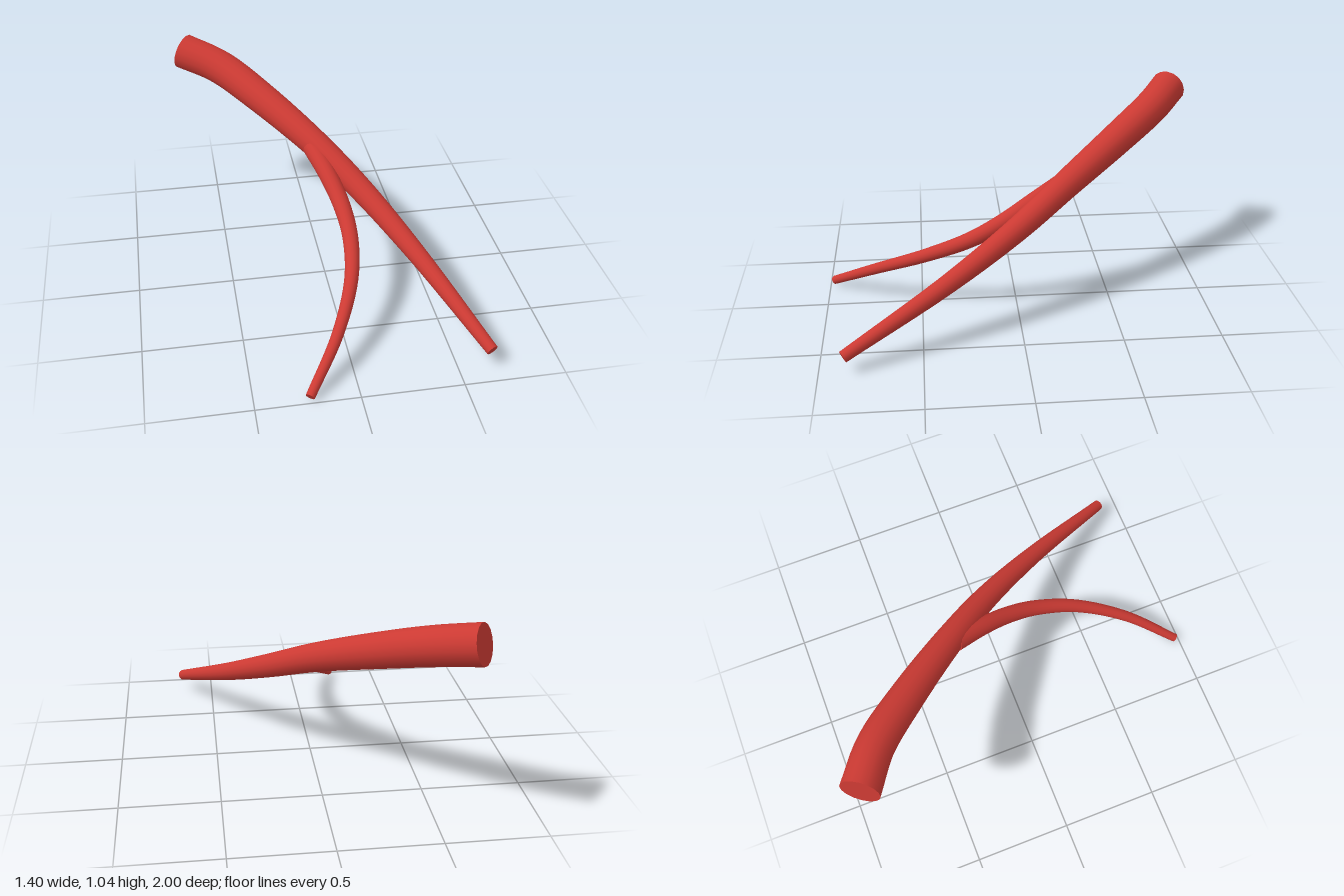
import * as THREE from 'three';

const SIDES = 16;
const STEPS = 48;

// Tapered tube: each station is [x, y, z, radius]
function taperedTube(stations) {
  const curve = new THREE.CatmullRomCurve3(stations.map(([x, y, z]) => new THREE.Vector3(x, y, z)));
  const radii = new THREE.CatmullRomCurve3(stations.map((s, i) => new THREE.Vector3(i, s[3], 0)));
  const geometry = new THREE.TubeGeometry(curve, STEPS, 1, SIDES, false);
  const pos = geometry.attributes.position;
  const v = new THREE.Vector3();
  for (let i = 0; i <= STEPS; i++) {
    const u = i / STEPS;
    const centre = curve.getPointAt(u);
    const radius = radii.getPoint(curve.getUtoTmapping(u)).y;
    for (let j = 0; j <= SIDES; j++) {
      const k = i * (SIDES + 1) + j;
      v.fromBufferAttribute(pos, k).sub(centre).multiplyScalar(radius).add(centre);
      pos.setXYZ(k, v.x, v.y, v.z);
    }
  }
  return geometry;
}

// Flat cut face over the first or last ring of a tube
function endCap(tube, last) {
  const first = last ? STEPS * (SIDES + 1) : 0;
  const points = [];
  for (let j = 0; j < SIDES; j++) {
    points.push(new THREE.Vector3().fromBufferAttribute(tube.attributes.position, first + j));
  }
  const index = [];
  for (let j = 1; j < SIDES - 1; j++) index.push(0, ...(last ? [j, j + 1] : [j + 1, j]));
  const geometry = new THREE.BufferGeometry().setFromPoints(points);
  geometry.setIndex(index);
  geometry.computeVertexNormals();
  return geometry;
}

export function createModel() {
  const model = new THREE.Group();
  model.name = 'branchingVessel';
  const red = new THREE.MeshStandardMaterial({ color: 0xcc3a33, side: THREE.DoubleSide });
  red.name = 'red';

  const vessels = {
    // Wide trunk sweeping down to the front
    mainVessel: [
      [-0.645, 0.955, -0.925, 0.098], [-0.46, 0.905, -0.795, 0.094], [-0.255, 0.805, -0.575, 0.087],
      [0, 0.655, -0.265, 0.074], [0.2, 0.508, 0.005, 0.063], [0.41, 0.33, 0.36, 0.049],
      [0.665, 0.095, 0.88, 0.03],
    ],
    // Thin branch curling off underneath
    sideBranch: [
      [-0.025, 0.655, -0.25, 0.052], [0.03, 0.575, -0.09, 0.048], [0.073, 0.487, 0.07, 0.045],
      [0.088, 0.402, 0.24, 0.041], [0.052, 0.305, 0.47, 0.035], [-0.065, 0.18, 0.735, 0.029],
      [-0.238, 0.03, 0.978, 0.023],
    ],
  };

  for (const [name, stations] of Object.entries(vessels)) {
    const group = new THREE.Group();
    group.name = name;
    const tube = taperedTube(stations);
    const parts = { Wall: tube, StartCap: endCap(tube, false), EndCap: endCap(tube, true) };
    for (const [part, geometry] of Object.entries(parts)) {
      const mesh = new THREE.Mesh(geometry, red);
      mesh.name = name + part;
      group.add(mesh);
    }
    model.add(group);
  }
  return model;
}
